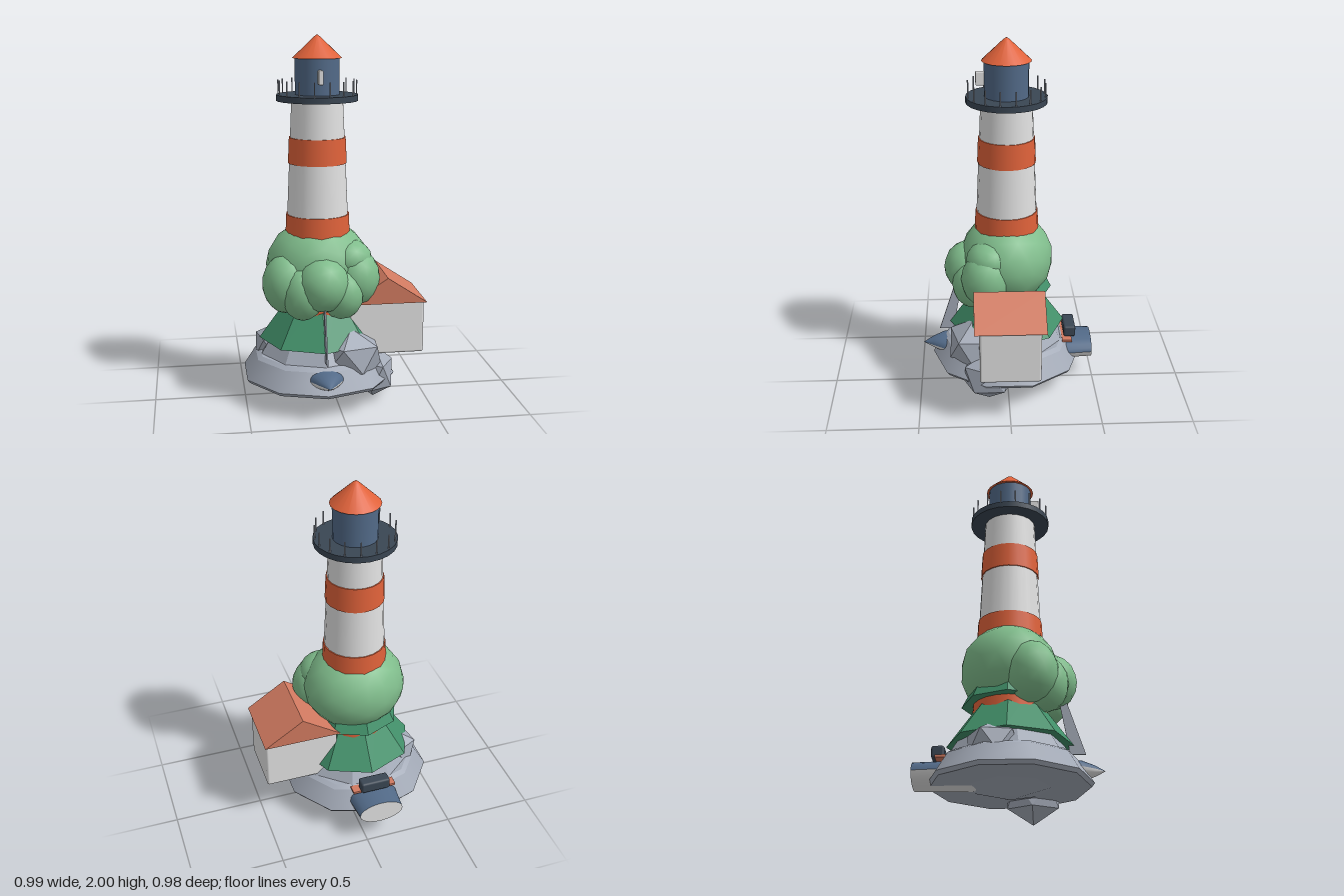
import * as THREE from 'three';
import { RoundedBoxGeometry } from 'three/addons/geometries/RoundedBoxGeometry.js';

const AX = -0.085; // x of the tower axis

function mat(name, color, extra = {}) {
  return new THREE.MeshStandardMaterial({ name, color, ...extra });
}

// Half-elliptical hull strip; rings are [z, halfWidth, halfHeight, centreY]
function hullStrip(rings, a0, a1, steps = 10) {
  const pos = [], idx = [], row = steps + 1;
  for (const [z, w, h, y] of rings) {
    for (let i = 0; i <= steps; i++) {
      const a = a0 + (a1 - a0) * i / steps;
      pos.push(AX + Math.cos(a) * w, y + Math.sin(a) * h, z);
    }
  }
  for (let j = 0; j < rings.length - 1; j++) {
    for (let i = 0; i < steps; i++) {
      const a = j * row + i, b = a + 1, c = b + row, d = a + row;
      idx.push(a, b, c, a, c, d);
    }
  }
  const g = new THREE.BufferGeometry();
  g.setAttribute('position', new THREE.Float32BufferAttribute(pos, 3));
  g.setIndex(idx);
  g.computeVertexNormals();
  return g;
}

export function createModel() {
  const root = new THREE.Group();
  root.name = 'lighthouseIsland';
  const orange = mat('orange', 0xe0623a);
  const terracotta = mat('terracotta', 0xd17a60);
  const slate = mat('slateBlue', 0x526a88);
  const charcoal = mat('charcoal', 0x3a4653);
  const white = mat('white', 0xe2e2e2);
  const leaf = mat('leafGreen', 0x80bd8c);
  const pine = mat('pineGreen', 0x42906a);
  const stone = mat('stone', 0xa4abb8);

  const add = (name, geo, m, x = 0, y = 0, z = 0) => {
    const mesh = new THREE.Mesh(geo, m);
    mesh.name = name;
    mesh.position.set(x, y, z);
    root.add(mesh);
    return mesh;
  };
  // Cylinder or frustum on the tower axis between two heights
  const drum = (name, m, y0, y1, r0, r1, sides, flat = false, open = false) => {
    let g = new THREE.CylinderGeometry(r1, r0, y1 - y0, sides, 1, open);
    if (flat) { g = g.toNonIndexed(); g.computeVertexNormals(); }
    return add(name, g, m, AX, (y0 + y1) / 2, 0);
  };

  // Island slab
  drum('islandLip', stone, 0.12, 0.14, 0.415, 0.43, 10);
  drum('islandSlope', stone, 0.14, 0.245, 0.43, 0.365, 10);
  drum('islandTop', stone, 0.245, 0.262, 0.365, 0.34, 10);
  drum('rockMound', stone, 0.25, 0.355, 0.335, 0.27, 9, true);
  drum('islandUnderside', stone, 0.07, 0.125, 0.04, 0.23, 7, true);

  // Faceted rocks: centre, size, turn
  const rocks = [
    [0.21, 0.15, 0.11, 0.12, 0.15, 0.16, 0.3],
    [0.07, 0.28, 0.19, 0.19, 0.15, 0.16, 0.9],
    [-0.30, 0.27, -0.07, 0.155, 0.13, 0.15, 0.5],
  ];
  for (const [x, y, z, sx, sy, sz, turn] of rocks) {
    const g = new THREE.IcosahedronGeometry(1, 0);
    g.rotateX(-1.017).rotateY(turn).scale(sx, sy, sz);
    g.computeVertexNormals();
    add('rock', g, stone, x, y, z);
  }

  // Tower with painted bands
  const towerR = y => 0.14 + 0.044 * (1.655 - y);
  drum('tower', white, 0.3, 1.655, towerR(0.3), towerR(1.655), 20);
  for (const y of [0.48, 0.9, 1.32]) {
    drum('towerBand', orange, y, y + 0.14, towerR(y) + 0.006, towerR(y + 0.14) + 0.006, 20);
  }

  // Gallery, railing posts, lantern room and roof
  drum('gallery', charcoal, 1.655, 1.688, 0.22, 0.22, 24);
  for (let i = 0; i < 16; i++) {
    const a = (i + 0.5) / 16 * Math.PI * 2;
    add('railingPost', new THREE.CylinderGeometry(0.004, 0.004, 0.08, 6), stone,
      AX + Math.sin(a) * 0.21, 1.725, Math.cos(a) * 0.21);
  }
  drum('lanternRoom', slate, 1.688, 1.885, 0.12, 0.12, 20);
  drum('lanternRoof', orange, 1.88, 1.99, 0.134, 0.018, 20);
  drum('roofTip', orange, 1.99, 2.0, 0.018, 0.004, 20);
  add('lamp', new RoundedBoxGeometry(0.026, 0.075, 0.06, 2, 0.006), white, AX, 1.785, 0.135);

  // Conifer tiers around the tower foot
  drum('lowerTier', pine, 0.34, 0.6, 0.33, 0.14, 8, true);
  drum('upperTier', pine, 0.555, 0.8, 0.255, 0.13, 8, true);

  // Leafy crown: centre and radii of each clump
  const clumps = [
    [AX, 0.75, 0, 0.29, 0.255, 0.262],
    [-0.27, 0.68, 0.12, 0.135, 0.165, 0.14],
    [-0.19, 0.64, 0.19, 0.12, 0.15, 0.12],
    [AX, 0.69, 0.215, 0.145, 0.15, 0.14],
    [0.02, 0.63, 0.19, 0.12, 0.14, 0.12],
    [0.105, 0.70, 0.12, 0.135, 0.16, 0.14],
    [0.07, 0.80, 0.10, 0.13, 0.11, 0.13],
  ];
  clumps.forEach(([x, y, z, sx, sy, sz], i) => {
    const g = new THREE.IcosahedronGeometry(1, 2);
    g.rotateY(i * 0.7).scale(sx, sy, sz);
    add(i ? 'leafClump' : 'crown', g, leaf, x, y, z);
  });

  // Thin slanted trunk in front (shape x runs along z)
  const trunk = new THREE.Shape([[0.26, 0.57], [0.30, 0.57], [0.39, 0.29], [0.31, 0.29]]
    .map(p => new THREE.Vector2(-p[0], p[1])));
  add('trunk', new THREE.ExtrudeGeometry(trunk, { depth: 0.008, bevelEnabled: false })
    .rotateY(Math.PI / 2), stone, AX - 0.004, 0, 0);

  // House with gabled roof
  add('houseWalls', new RoundedBoxGeometry(0.415, 0.3, 0.33, 2, 0.012), white, 0.277, 0.415, 0);
  const gable = new THREE.Shape([new THREE.Vector2(-0.22, 0), new THREE.Vector2(0.22, 0),
    new THREE.Vector2(0, 0.145)]);
  add('houseRoof', new THREE.ExtrudeGeometry(gable, { depth: 0.386, bevelEnabled: false }),
    terracotta, 0.275, 0.56, -0.193);

  // Boat running through the island, bow to the front
  const hull = [
    [-0.49, 0.127, 0.068, 0.183], [-0.35, 0.14, 0.07, 0.183], [0, 0.145, 0.072, 0.185],
    [0.25, 0.13, 0.065, 0.19], [0.365, 0.088, 0.05, 0.202], [0.43, 0.045, 0.028, 0.202],
    [0.485, 0.001, 0.001, 0.2],
  ];
  add('boatUpperHull', hullStrip(hull, 0, Math.PI), slate);
  add('boatLowerHull', hullStrip(hull, Math.PI, Math.PI * 2), white);
  add('boatStern', new THREE.CircleGeometry(1, 20).scale(0.127, 0.068, 1).rotateY(Math.PI),
    white, AX, 0.183, -0.49);
  add('boatSeat', new THREE.BoxGeometry(0.25, 0.014, 0.055), terracotta, AX, 0.256, -0.345);
  add('boatCabin', new RoundedBoxGeometry(0.168, 0.065, 0.068, 2, 0.012), charcoal, AX, 0.293, -0.363);

  return root;
}
